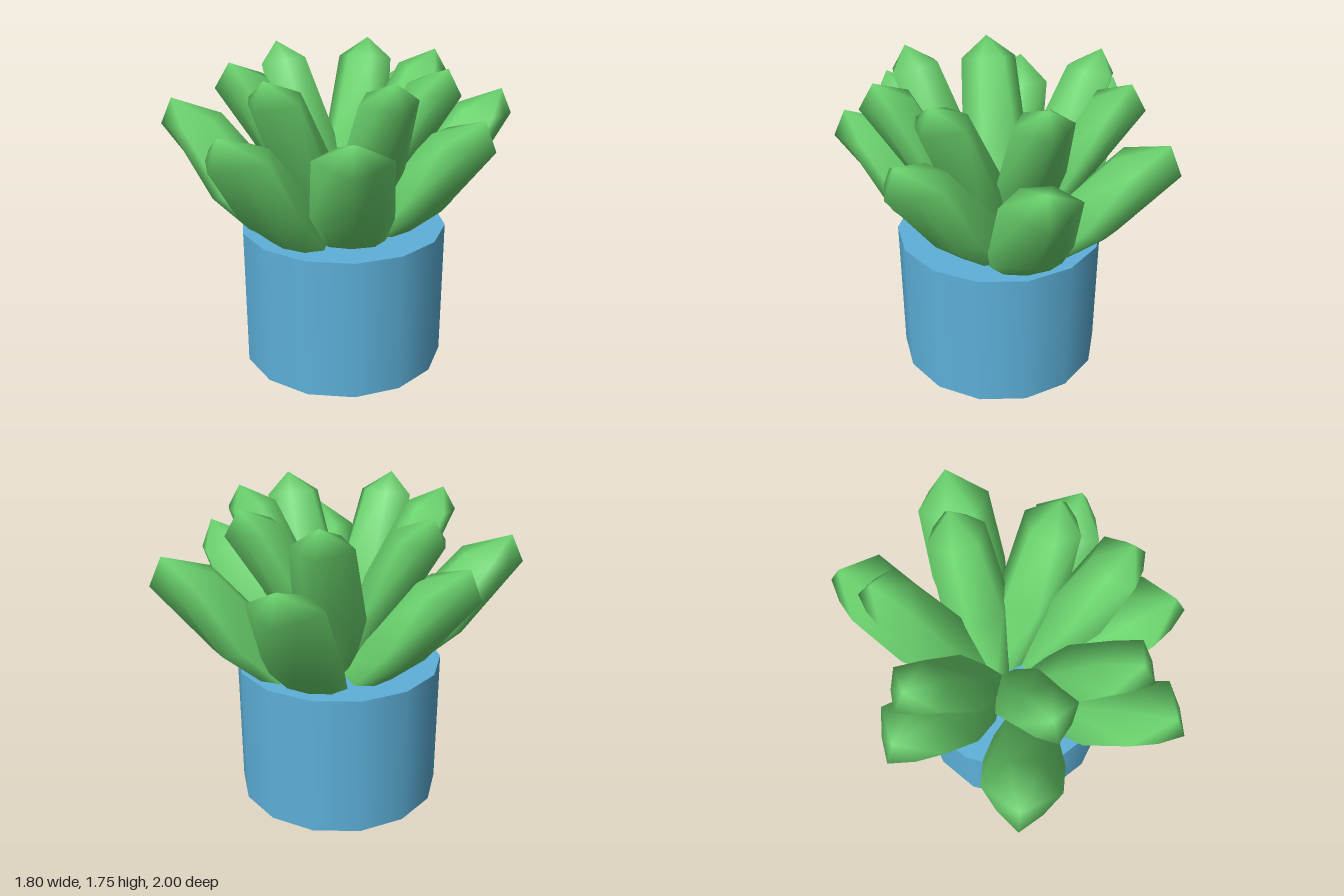
import * as THREE from 'three';

const leafGreen = new THREE.MeshStandardMaterial({ color: 0x6cd66f });
leafGreen.name = 'leafGreen';
const potBlue = new THREE.MeshStandardMaterial({ color: 0x5db0d9 });
potBlue.name = 'potBlue';

// Each ring gives [inset from tip, height, half width] for its keel, cheeks, sides and upper face.
const outerRings = [
  [[0.57, 0.75, 0], [0.585, 0.76, 0.12], [0.64, 0.78, 0.18], [0.84, 0.8, 0.06]],
  [[0.3, 0.98, 0], [0.325, 0.99, 0.14], [0.42, 1.02, 0.22], [0.62, 1.08, 0.11]],
  [[0, 1.37, 0], [0.09, 1.385, 0.11], [0.2, 1.4, 0.2], [0.33, 1.425, 0.08]],
];
const innerRings = [
  [[0.54, 0.78, 0], [0.55, 0.785, 0.07], [0.59, 0.79, 0.11], [0.69, 0.8, 0.04]],
  [[0.28, 1.17, 0], [0.295, 1.18, 0.115], [0.36, 1.2, 0.19], [0.5, 1.25, 0.1]],
  [[0, 1.62, 0], [0.065, 1.63, 0.09], [0.15, 1.64, 0.16], [0.27, 1.67, 0.07]],
];
const SIDES = 7;

// Seven-sided smooth leaf lofted through its rings and closed to a point.
function leafGeometry(rings, apex) {
  const positions = [];
  const index = [];
  for (const [keel, cheek, side, top] of rings) {
    const half = [cheek, side, top];
    positions.push(-keel[0], keel[1], 0);
    for (const p of half) positions.push(-p[0], p[1], p[2]);
    for (const p of half.reverse()) positions.push(-p[0], p[1], -p[2]);
  }
  positions.push(-apex[0], apex[1], 0);
  const apexIndex = rings.length * SIDES;
  for (let r = 0; r < rings.length; r++) {
    for (let i = 0; i < SIDES; i++) {
      const a = r * SIDES + i;
      const b = r * SIDES + ((i + 1) % SIDES);
      if (r === rings.length - 1) index.push(a, apexIndex, b);
      else index.push(a, a + SIDES, b, b, a + SIDES, b + SIDES);
    }
  }
  const geometry = new THREE.BufferGeometry();
  geometry.setAttribute('position', new THREE.Float32BufferAttribute(positions, 3));
  geometry.setIndex(index);
  geometry.computeVertexNormals();
  return geometry;
}

// Whorl of leaves, each placed by its tip x, tip z and heading in degrees.
function leafWhorl(name, geometry, placements) {
  const whorl = new THREE.Group();
  whorl.name = name + 's';
  for (const [x, z, heading] of placements) {
    const leaf = new THREE.Mesh(geometry, leafGreen);
    leaf.name = name;
    leaf.position.set(x, 0, z);
    leaf.rotation.y = -THREE.MathUtils.degToRad(heading);
    whorl.add(leaf);
  }
  return whorl;
}

export function createModel() {
  const model = new THREE.Group();
  model.name = 'pottedSucculent';

  // Fourteen-sided pot
  const pot = new THREE.Mesh(new THREE.CylinderGeometry(0.587, 0.587, 0.81, 14), potBlue);
  pot.name = 'pot';
  pot.position.y = 0.405;
  pot.rotation.y = Math.PI / 2;
  model.add(pot);

  // Low spreading leaves
  model.add(leafWhorl('outerLeaf', leafGeometry(outerRings, [0.07, 1.52]), [
    [-0.16, -1.0, -100], [0.68, -0.78, -45], [0.9, 0, 7], [0.52, 0.74, 58],
    [-0.11, 1.0, 96], [-0.9, 0.48, 158], [-0.89, -0.24, 190],
  ]));

  // Upright leaves in the middle
  model.add(leafWhorl('innerLeaf', leafGeometry(innerRings, [0.08, 1.75]), [
    [-0.25, -0.73, -107], [0.35, -0.57, -51], [0.68, -0.04, 1], [0.6, 0.44, 37],
    [-0.02, 0.76, 94], [-0.49, 0.48, 133], [-0.7, -0.27, 197],
  ]));

  return model;
}
